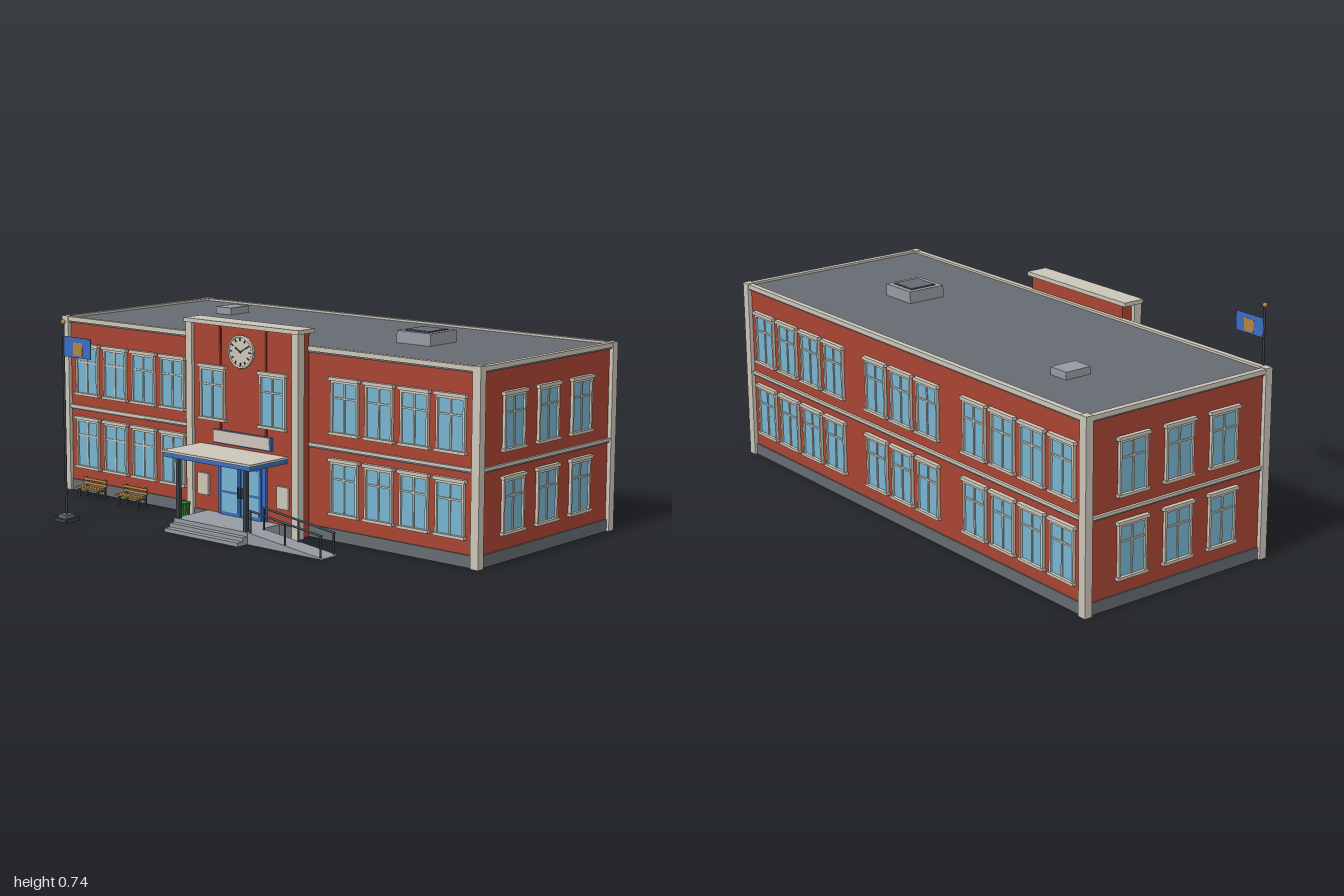
import * as THREE from 'three';

const paint = (name, hex) => {
  const m = new THREE.MeshStandardMaterial({ color: hex });
  m.name = name;
  return m;
};

export function createModel() {
  const brick = paint('brick', 0xa84432);
  const darkBrick = paint('dark brick', 0x6e2a20);
  const trim = paint('stone trim', 0xcbc5b8);
  const glass = paint('window glass', 0x76b4d0);
  const slate = paint('slate grey', 0x656b70);
  const concrete = paint('concrete', 0x959aa2);
  const blue = paint('door blue', 0x3a6cc0);
  const wood = paint('golden wood', 0xb5833f);
  const green = paint('bin green', 0x3f8f3c);
  const metal = paint('dark metal', 0x3b4249);

  const root = new THREE.Group();
  root.name = 'schoolBuilding';
  const add = (parent, name, geo, mat, x = 0, y = 0, z = 0) => {
    const m = new THREE.Mesh(geo, mat);
    m.name = name;
    m.position.set(x, y, z);
    parent.add(m);
    return m;
  };
  // Box given by its extents along each axis
  const box = (parent, name, mat, x0, x1, y0, y1, z0, z1) =>
    add(parent, name, new THREE.BoxGeometry(x1 - x0, y1 - y0, z1 - z0), mat,
      (x0 + x1) / 2, (y0 + y1) / 2, (z0 + z1) / 2);
  const group = (name, x = 0, y = 0, z = 0) => {
    const g = new THREE.Group();
    g.name = name;
    g.position.set(x, y, z);
    root.add(g);
    return g;
  };
  // Round bar between two points
  const bar = (parent, name, mat, a, b, r) => {
    const p = new THREE.Vector3(...a), d = new THREE.Vector3(...b).sub(p);
    const m = add(parent, name, new THREE.CylinderGeometry(r, r, d.length(), 8), mat);
    m.position.copy(p).addScaledVector(d, 0.5);
    m.quaternion.setFromUnitVectors(new THREE.Vector3(0, 1, 0), d.normalize());
    return m;
  };

  // Main block
  const X = 0.985, ZF = 0.18, ZB = -0.595;
  const block = group('mainBlock');
  box(block, 'plinth', slate, -X - 0.005, X + 0.005, 0, 0.043, ZB - 0.005, ZF + 0.005);
  box(block, 'walls', brick, -X, X, 0.043, 0.66, ZB, ZF);
  box(block, 'roof', slate, -X + 0.005, X - 0.005, 0.66, 0.67, ZB + 0.005, ZF - 0.005);
  // Rings of trim: middle band, cornice
  const ring = (name, mat, y0, y1, out, inset) => {
    for (const s of [-1, 1]) {
      const xo = s * (X + out), xi = s * (X - inset);
      box(block, name, mat, Math.min(xo, xi), Math.max(xo, xi), y0, y1, ZB - out, ZF + out);
    }
    box(block, name, mat, -X + inset, X - inset, y0, y1, ZF - inset, ZF + out);
    box(block, name, mat, -X + inset, X - inset, y0, y1, ZB - out, ZB + inset);
  };
  ring('middleBand', trim, 0.326, 0.337, 0.01, 0.005);
  ring('bandShadowLedge', slate, 0.32, 0.326, 0.006, 0.005);
  ring('corniceLedge', slate, 0.655, 0.661, 0.008, 0.005);
  ring('cornice', trim, 0.661, 0.678, 0.013, 0.008);
  for (const s of [-1, 1]) for (const [z0, z1] of [[0.165, 0.195], [-0.61, -0.58]])
    box(block, 'cornerPilaster', trim, s > 0 ? 0.967 : -1, s > 0 ? 1 : -0.967, 0, 0.68, z0, z1);

  // Window facing local +z, origin at the middle of its sill
  const windowAt = (x, y, z, turn) => {
    const g = group('window', x, y, z);
    g.rotation.y = turn;
    box(g, 'glass', glass, -0.055, 0.055, 0.008, 0.192, 0, 0.004);
    for (const s of [-1, 1])
      box(g, 'frameSide', trim, s * 0.056 - 0.004, s * 0.056 + 0.004, 0.006, 0.194, 0, 0.011);
    box(g, 'mullion', trim, -0.003, 0.003, 0.008, 0.192, 0, 0.008);
    box(g, 'transom', trim, -0.055, 0.055, 0.127, 0.133, 0, 0.008);
    box(g, 'frameTop', trim, -0.06, 0.06, 0.182, 0.192, 0, 0.011);
    box(g, 'lintel', trim, -0.067, 0.067, 0.19, 0.202, 0, 0.016);
    box(g, 'sill', trim, -0.066, 0.066, 0, 0.01, 0, 0.016);
  };
  for (const y of [0.093, 0.378]) {
    for (const s of [-1, 1]) {
      for (const x of [0.415, 0.568, 0.721, 0.874]) {
        windowAt(s * x, y, ZF, 0);
        windowAt(s * x, y, ZB, Math.PI);
      }
      for (const z of [-0.01, -0.207, -0.405]) windowAt(s * X, y, z, s * Math.PI / 2);
    }
    for (const x of [-0.153, 0, 0.153]) windowAt(x, y, ZB, Math.PI);
  }

  // Entrance pavilion
  const F = 0.25;
  const pav = group('entrancePavilion');
  box(pav, 'pavilionWall', brick, -0.255, 0.255, 0, 0.725, 0.187, F);
  box(pav, 'pavilionPlinth', slate, -0.245, 0.245, 0, 0.043, 0.2, F + 0.005);
  box(pav, 'parapetCap', trim, -0.275, 0.275, 0.725, 0.74, 0.18, 0.267);
  for (const s of [-1, 1]) {
    box(pav, 'pavilionPilaster', trim, s * 0.255 - 0.015, s * 0.255 + 0.015, 0, 0.727, 0.23, 0.263);
    box(pav, 'brickGroove', darkBrick, s * 0.11 - 0.005, s * 0.11 + 0.005, 0.35, 0.725, F, F + 0.003);
    box(pav, 'noticeBoard', trim, s * 0.193 - 0.027, s * 0.193 + 0.027, 0.1, 0.18, F, F + 0.009);
    windowAt(s * 0.145, 0.378, F, 0);
  }
  box(pav, 'signBacking', blue, -0.142, 0.142, 0.298, 0.348, F, F + 0.008);
  box(pav, 'signPanel', trim, -0.136, 0.136, 0.302, 0.347, F, F + 0.013);

  // Clock
  const clock = group('clock', 0, 0.64, F);
  add(clock, 'clockFace', new THREE.CylinderGeometry(0.056, 0.056, 0.014, 40), trim, 0, 0, 0.007)
    .rotation.x = Math.PI / 2;
  add(clock, 'clockRim', new THREE.TorusGeometry(0.056, 0.004, 8, 40), trim, 0, 0, 0.013);
  const mark = (name, angle, r0, r1, w) => {
    const g = new THREE.BoxGeometry(w, r1 - r0, 0.003).translate(0, (r0 + r1) / 2, 0);
    add(clock, name, g, metal, 0, 0, 0.0155).rotation.z = -angle;
  };
  for (let i = 0; i < 12; i++) mark('hourMark', i * Math.PI / 6, 0.039, 0.049, 0.004);
  mark('hourHand', -Math.PI / 3, -0.005, 0.028, 0.005);
  mark('minuteHand', Math.PI / 3, -0.005, 0.038, 0.004);

  // Double door
  const door = group('doubleDoor', 0, 0.043, F);
  box(door, 'doorFrame', blue, -0.115, 0.115, 0, 0.203, 0, 0.01);
  for (const s of [-1, 1]) {
    box(door, 'doorLeaf', blue, s * 0.05 - 0.048, s * 0.05 + 0.048, 0, 0.19, 0.01, 0.016);
    for (const [y0, y1] of [[0.012, 0.082], [0.09, 0.178]])
      box(door, 'doorGlass', glass, s * 0.05 - 0.038, s * 0.05 + 0.038, y0, y1, 0.016, 0.018);
    box(door, 'doorHandle', metal, s * 0.008 - 0.002, s * 0.008 + 0.002, 0.07, 0.11, 0.016, 0.023);
  }

  // Canopy, porch and steps
  const porch = group('porch');
  box(porch, 'canopyRoof', trim, -0.212, 0.212, 0.28, 0.288, F, 0.444);
  box(porch, 'canopyFascia', blue, -0.207, 0.207, 0.264, 0.28, F, 0.44);
  for (const s of [-1, 1])
    box(porch, 'canopyPost', metal, s * 0.163 - 0.007, s * 0.163 + 0.007, 0.04, 0.265, 0.405, 0.42);
  box(porch, 'landing', concrete, -0.177, 0.177, 0, 0.043, F, 0.424);
  box(porch, 'upperStep', concrete, -0.177, 0.177, 0, 0.028, 0.424, 0.447);
  box(porch, 'lowerStep', concrete, -0.177, 0.177, 0, 0.014, 0.447, 0.472);

  // Sloping ramp with handrails
  const wedge = new THREE.Shape([[0.177, 0], [0.52, 0], [0.52, 0.004], [0.177, 0.043]]
    .map(p => new THREE.Vector2(...p)));
  add(porch, 'ramp', new THREE.ExtrudeGeometry(wedge, { depth: 0.08, bevelEnabled: false }),
    concrete, 0, 0, 0.342);
  for (const z of [0.348, 0.416]) {
    bar(porch, 'handrail', metal, [0.183, 0.12, z], [0.512, 0.08, z], 0.004);
    for (const t of [0, 0.5, 1]) {
      const x = 0.187 + t * 0.32;
      bar(porch, 'railPost', metal, [x, 0.038 - 0.037 * t, z], [x, 0.119 - 0.039 * t, z], 0.0035);
    }
  }

  // Rooftop units
  const roofUnits = group('roofUnits');
  box(roofUnits, 'skylightBox', concrete, 0.395, 0.545, 0.67, 0.714, -0.272, -0.122);
  box(roofUnits, 'skylightLid', slate, 0.418, 0.522, 0.714, 0.718, -0.249, -0.145);
  box(roofUnits, 'skylightTop', metal, 0.415, 0.525, 0.712, 0.716, -0.252, -0.142);
  box(roofUnits, 'smallVent', concrete, -0.655, -0.575, 0.67, 0.697, -0.405, -0.3);

  // Benches, backs to the wall
  for (const x of [-0.79, -0.571]) {
    const b = group('bench', x, 0, 0.25);
    for (const z of [-0.008, 0.006, 0.02])
      box(b, 'seatSlat', wood, -0.064, 0.064, 0.036, 0.042, z - 0.006, z + 0.006);
    for (const y of [0.052, 0.067])
      box(b, 'backSlat', wood, -0.064, 0.064, y - 0.005, y + 0.005, -0.021, -0.016);
    for (const s of [-1, 1]) {
      const l = s * 0.05;
      box(b, 'backLeg', metal, l - 0.004, l + 0.004, 0, 0.074, -0.026, -0.02);
      box(b, 'frontLeg', metal, l - 0.004, l + 0.004, 0, 0.036, 0.014, 0.02);
      box(b, 'seatBearer', metal, l - 0.004, l + 0.004, 0.03, 0.036, -0.02, 0.02);
    }
  }

  // Litter bin with ribs
  const bin = group('litterBin', -0.243, 0, 0.305);
  add(bin, 'binBody', new THREE.CylinderGeometry(0.021, 0.018, 0.07, 16), green, 0, 0.035, 0);
  for (let i = 0; i < 12; i++) {
    const a = i * Math.PI / 6, c = Math.cos(a), s = Math.sin(a);
    bar(bin, 'binRib', green, [c * 0.018, 0, s * 0.018], [c * 0.021, 0.068, s * 0.021], 0.002);
  }
  add(bin, 'binRim', new THREE.TorusGeometry(0.021, 0.0025, 8, 20), green, 0, 0.07, 0)
    .rotation.x = Math.PI / 2;

  // Flagpole
  const flag = group('flagpole', -0.572, 0, 0.58);
  box(flag, 'poleBase', metal, -0.033, 0.033, 0, 0.012, -0.033, 0.033);
  box(flag, 'poleFoot', slate, -0.021, 0.021, 0.012, 0.025, -0.021, 0.021);
  bar(flag, 'pole', metal, [0, 0.025, 0], [0, 0.725, 0], 0.0045);
  add(flag, 'finial', new THREE.SphereGeometry(0.009, 16, 12), wood, 0, 0.728, 0);
  box(flag, 'flagCloth', blue, 0.004, 0.142, 0.605, 0.678, -0.0015, 0.0015);
  box(flag, 'flagEmblem', wood, 0.052, 0.1, 0.612, 0.66, -0.0025, 0.0025);
  return root;
}
